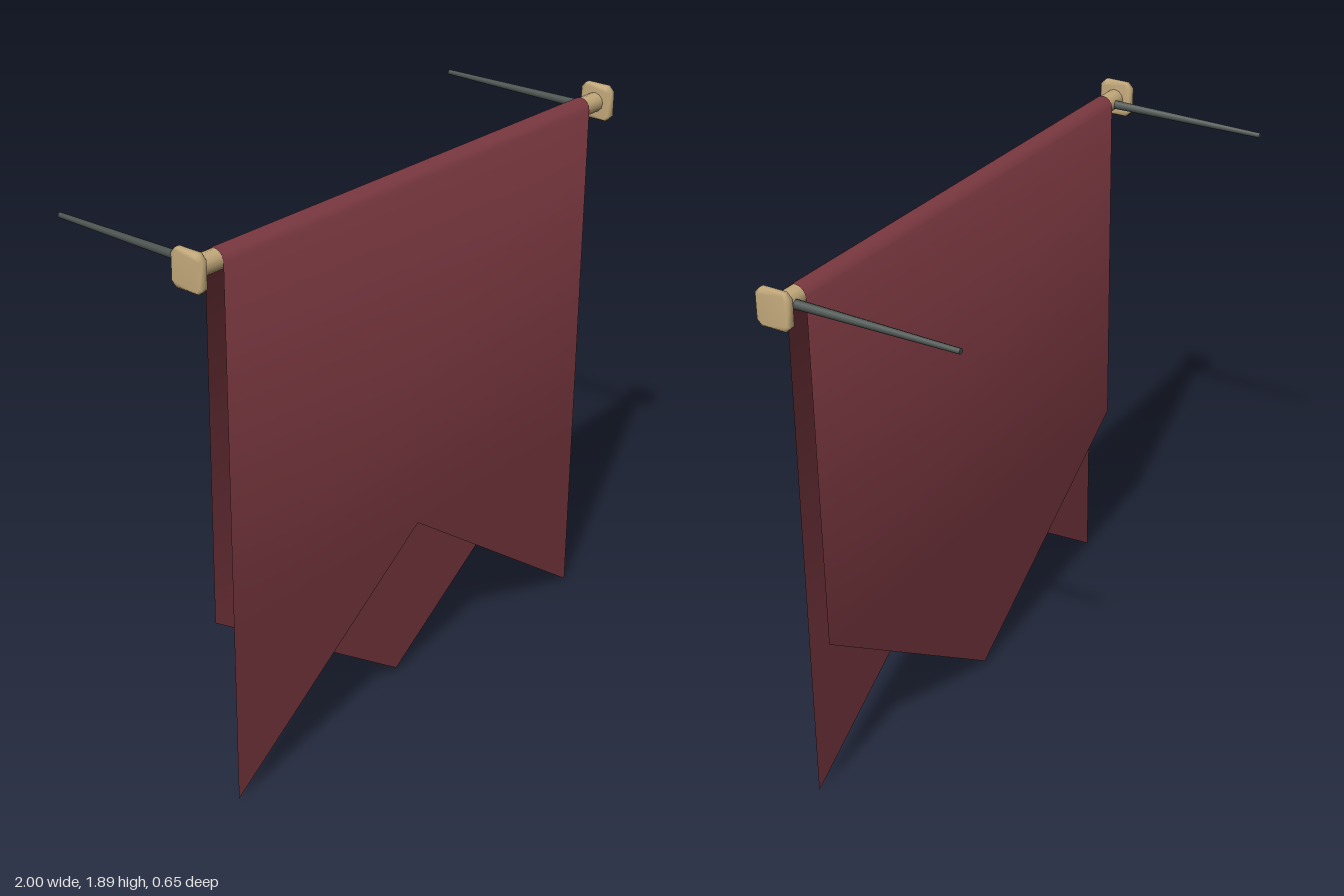
import * as THREE from 'three';
import { mergeVertices } from 'three/addons/utils/BufferGeometryUtils.js';

const ROD_Y = 1.826, ROD_Z = 0.264, HALF = 0.885, HEM = 0.62;

// Banner cloth: one thin sheet folded over the rod, with a notched front and a pointed back
function clothGeometry() {
  const pos = [], nor = [], idx = [];
  const add = (x, y, z, angle) => {
    pos.push(x, y, z);
    nor.push(0, Math.sin(angle), Math.cos(angle));
    return pos.length / 3 - 1;
  };
  const row = (y, z, angle) => [add(-HALF, y, z, angle), add(HALF, y, z, angle)];

  const rows = [row(HEM, 0.3, 0)];
  const steps = 8, r = 0.036, soft = 0.5;
  for (let i = 0; i <= steps; i++) {
    const t = i / steps, a = t * Math.PI;
    rows.push(row(ROD_Y + r * Math.sin(a), ROD_Z + r * Math.cos(a), soft + t * (Math.PI - 2 * soft)));
  }
  rows.push(row(HEM, 0.221, Math.PI));
  for (let i = 0; i < rows.length - 1; i++) {
    const [a, b] = rows[i], [c, d] = rows[i + 1];
    idx.push(a, b, d, a, d, c);
  }

  // two front tails and the single back point
  const notch = add(0, HEM, 0.3, 0);
  const tailL = add(-HALF, 0, 0.3, 0), tailR = add(HALF, 0, 0.3, 0);
  idx.push(tailL, notch, rows[0][0], tailR, rows[0][1], notch);
  const last = rows[rows.length - 1];
  idx.push(last[0], last[1], add(0, 0.01, 0.214, Math.PI));

  const g = new THREE.BufferGeometry();
  g.setAttribute('position', new THREE.Float32BufferAttribute(pos, 3));
  g.setAttribute('normal', new THREE.Float32BufferAttribute(nor, 3));
  g.setIndex(idx);
  return g;
}

// End cap: a small square plate with cut corners and softened edges
function capGeometry() {
  const bevel = 0.008, h = 0.061 - bevel, c = 0.014;
  const s = new THREE.Shape([
    [h, -h + c], [h, h - c], [h - c, h], [-h + c, h],
    [-h, h - c], [-h, -h + c], [-h + c, -h], [h - c, -h],
  ].map(([x, y]) => new THREE.Vector2(x, y)));
  let g = new THREE.ExtrudeGeometry(s, {
    depth: 0.032 - 2 * bevel, bevelEnabled: true, bevelThickness: bevel, bevelSize: bevel, bevelSegments: 1,
  });
  g.center();
  g.rotateY(Math.PI / 2);
  g.deleteAttribute('uv');
  g.deleteAttribute('normal');
  g = mergeVertices(g, 1e-4);
  g.computeVertexNormals();
  return g;
}

export function createModel() {
  const cloth = new THREE.MeshStandardMaterial({ color: 0x7a3840, side: THREE.DoubleSide });
  cloth.name = 'redCloth';
  const wood = new THREE.MeshStandardMaterial({ color: 0xc4aa7c });
  wood.name = 'paleWood';
  const iron = new THREE.MeshStandardMaterial({ color: 0x4a524f });
  iron.name = 'darkIron';

  const model = new THREE.Group();
  model.name = 'hangingBanner';
  const part = (name, geometry, material, x = 0, y = 0, z = 0) => {
    const m = new THREE.Mesh(geometry, material);
    m.name = name;
    m.position.set(x, y, z);
    model.add(m);
    return m;
  };

  part('bannerCloth', clothGeometry(), cloth);

  // Rod with a cap at each end
  const rod = new THREE.CylinderGeometry(0.033, 0.033, 1.96, 12).rotateZ(Math.PI / 2);
  part('rod', rod, wood, 0, ROD_Y, ROD_Z);
  const cap = capGeometry();

  // Tapered spikes that hold the rod to the wall
  const length = 0.585;
  const spike = new THREE.CylinderGeometry(0.009, 0.016, length, 8).rotateX(-Math.PI / 2);
  for (const [side, s] of [['left', 1], ['right', -1]]) {
    part(side + 'Cap', cap, wood, s * 0.984, ROD_Y, ROD_Z);
    part(side + 'Spike', spike, iron, s * 0.924, ROD_Y - 0.003, 0.26 - length / 2);
  }
  return model;
}
